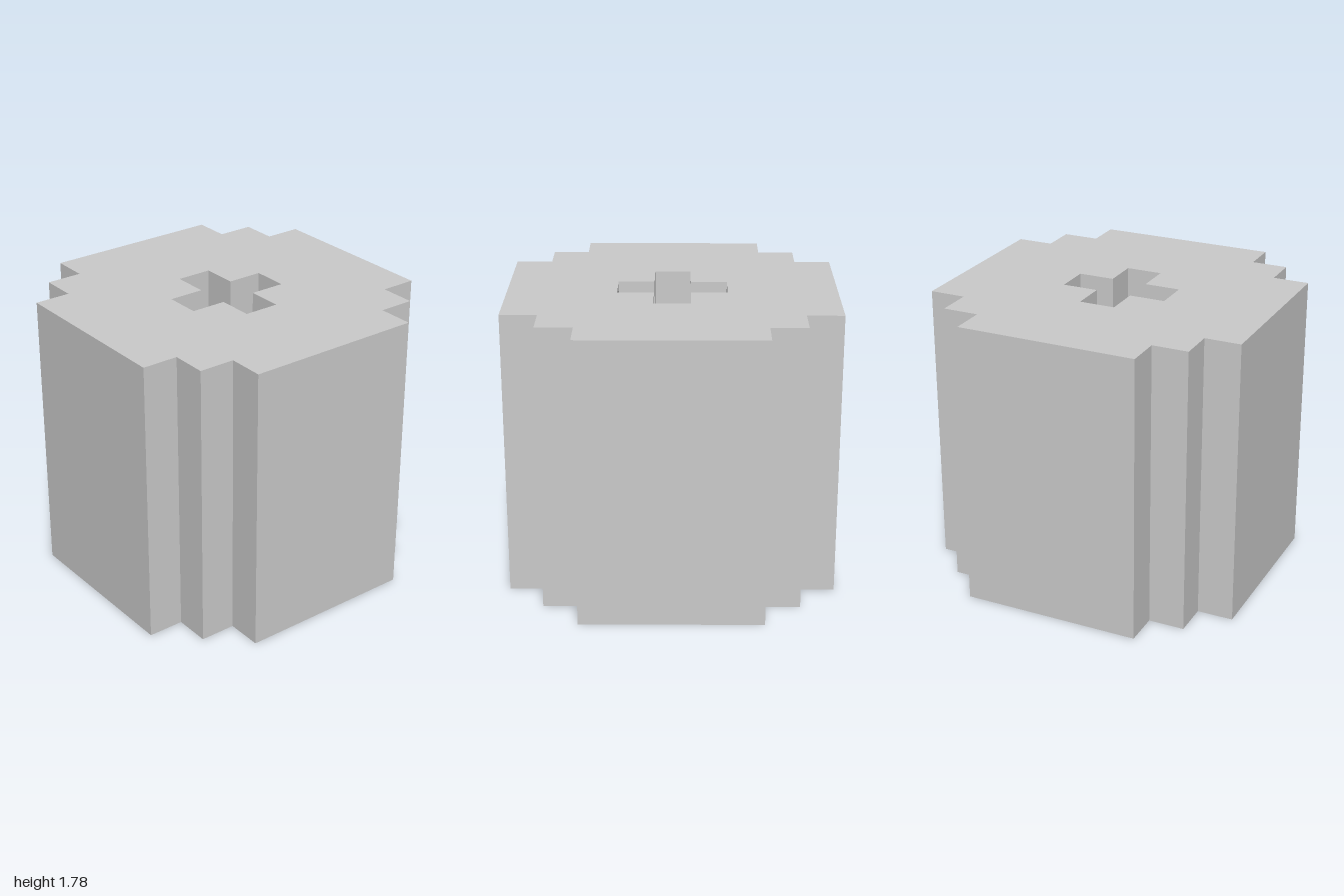
import * as THREE from 'three';

const U = 1 / 9; // grid step of the stepped outline
const HEIGHT = 16 * U;

// Repeat one corner's steps around the four quarters
function fourfold(corner) {
  const points = [];
  for (let q = 0; q < 4; q++) {
    for (let [x, y] of corner) {
      for (let i = 0; i < q; i++) [x, y] = [-y, x];
      points.push(new THREE.Vector2(x * U, y * U));
    }
  }
  return points;
}

export function createModel() {
  const group = new THREE.Group();
  group.name = 'steppedBlock';

  // Stepped outline with a plus-shaped hole running right through
  const outline = new THREE.Shape(fourfold([[9, 5], [7, 5], [7, 7], [5, 7], [5, 9]]));
  outline.holes.push(new THREE.Path(fourfold([[3, 1], [1, 1], [1, 3]])));

  const geometry = new THREE.ExtrudeGeometry(outline, { depth: HEIGHT, bevelEnabled: false });
  geometry.rotateX(-Math.PI / 2); // extrude upwards from y = 0

  const body = new THREE.Mesh(
    geometry,
    new THREE.MeshStandardMaterial({ color: 0xcccccc, flatShading: true })
  );
  body.name = 'body';
  group.add(body);
  return group;
}
